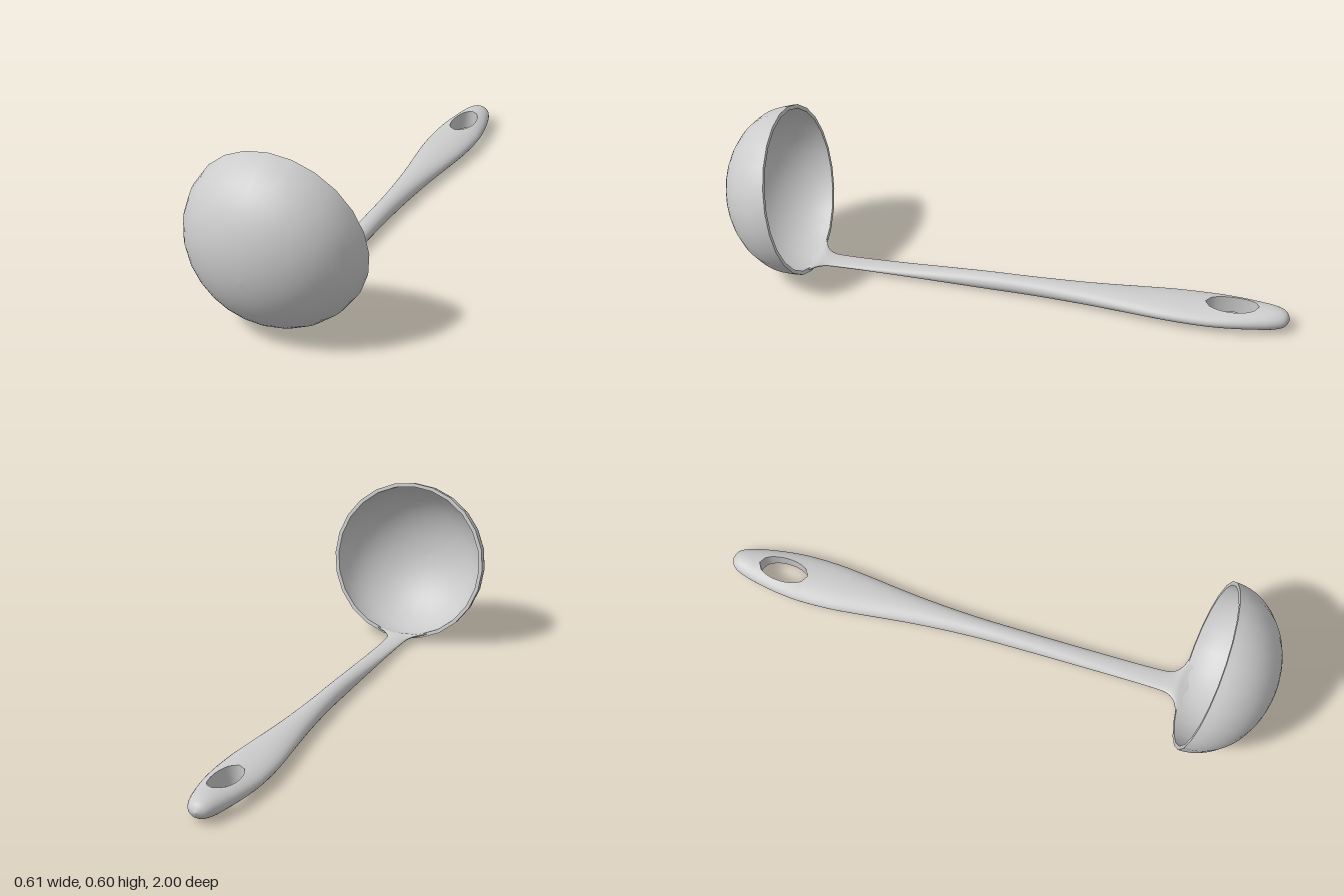
import * as THREE from 'three';
import { mergeVertices } from 'three/addons/utils/BufferGeometryUtils.js';

const material = new THREE.MeshStandardMaterial({ color: 0xcccccc, side: THREE.DoubleSide });

function addMesh(parent, name, geometry) {
  const mesh = new THREE.Mesh(geometry, material);
  mesh.name = name;
  parent.add(mesh);
}

// Hollow half-ellipsoid bowl, opening tilted up and toward the handle
function createBowl() {
  const bowl = new THREE.Group();
  bowl.name = 'bowl';
  const R = 0.303, D = 0.248, wall = 0.014, sides = 24;
  const arc = (r, d) => Array.from({ length: 17 }, (_, i) => {
    const a = (i / 16) * Math.PI / 2;
    return new THREE.Vector2(r * Math.sin(a), -d * Math.cos(a));
  });
  addMesh(bowl, 'bowlOutside', new THREE.LatheGeometry(arc(R, D), sides));
  addMesh(bowl, 'bowlInside', new THREE.LatheGeometry(arc(R - wall, D - wall).reverse(), sides));
  addMesh(bowl, 'bowlRim', new THREE.LatheGeometry(
    [new THREE.Vector2(R, 0), new THREE.Vector2(R - wall, 0)], sides));
  bowl.rotation.x = THREE.MathUtils.degToRad(-80);
  bowl.position.set(0, 0.309, 0.75);
  return bowl;
}

// Handle stations: z, half width, centre height, half thickness
const STATIONS = [
  [0.73, 0.13, 0.019, 0.002], [0.705, 0.108, 0.021, 0.007], [0.685, 0.066, 0.024, 0.009],
  [0.655, 0.043, 0.024, 0.009], [0.6, 0.037, 0.024, 0.010], [0.45, 0.035, 0.026, 0.015],
  [0.1, 0.035, 0.032, 0.029], [-0.1, 0.039, 0.034, 0.031], [-0.3, 0.053, 0.035, 0.032],
  [-0.5, 0.076, 0.037, 0.033], [-0.6, 0.086, 0.038, 0.034], [-0.708, 0.089, 0.039, 0.035],
  [-0.8, 0.082, 0.041, 0.037], [-0.892, 0.066, 0.043, 0.037], [-0.95, 0.05, 0.044, 0.035],
  [-0.985, 0.031, 0.044, 0.024], [-1, 0, 0.044, 0],
];
const HOLE = { z: -0.8, halfLength: 0.092, halfWidth: 0.045 };

function createHandle() {
  const handle = new THREE.Group();
  handle.name = 'handle';
  const plan = new THREE.SplineCurve(STATIONS.map(s => new THREE.Vector2(s[0], s[1])));
  const side = new THREE.SplineCurve(STATIONS.map(s => new THREE.Vector2(s[2], s[3])));
  const rows = (STATIONS.length - 1) * 6, N = 16;
  const skin = [], wall = [];

  // Half cross-sections, running from the underside round the edge to the top
  const sections = Array.from({ length: rows + 1 }, (_, i) => {
    const { x: z, y: w } = plan.getPoint(i / rows);
    const { x: yc, y: t } = side.getPoint(i / rows);
    const k = 1 - ((z - HOLE.z) / HOLE.halfLength) ** 2;
    const h = k > 1e-4 ? HOLE.halfWidth * Math.sqrt(k) : 0;
    const start = w > 0 ? Math.asin(Math.min(1, h / w)) : 0;
    // the neck curls up to follow the bowl
    const curl = 1.7 * THREE.MathUtils.smoothstep(z, 0.62, 0.7);
    const points = Array.from({ length: N + 1 }, (_, j) => {
      const a = start + (Math.PI - 2 * start) * j / N;
      const x = w * Math.sin(a);
      return [x, yc - t * Math.cos(a) + curl * x * x, z];
    });
    return { points, h };
  });

  const quad = (out, a, b, c, d, sign) => {
    const order = sign > 0 ? [a, b, c, c, b, d] : [a, c, b, c, d, b];
    for (const p of order) out.push(p[0] * sign, p[1], p[2]);
  };
  for (const sign of [1, -1]) {
    for (let i = 0; i < rows; i++) {
      const p = sections[i].points, q = sections[i + 1].points;
      for (let j = 0; j < N; j++) quad(skin, p[j], q[j], p[j + 1], q[j + 1], sign);
      // wall of the hanging hole
      if (sections[i].h > 0 || sections[i + 1].h > 0) quad(wall, p[N], q[N], p[0], q[0], sign);
    }
  }
  const build = positions => {
    const g = new THREE.BufferGeometry();
    g.setAttribute('position', new THREE.Float32BufferAttribute(positions, 3));
    const merged = mergeVertices(g, 1e-5);
    merged.computeVertexNormals();
    return merged;
  };
  addMesh(handle, 'handleGrip', build(skin));
  addMesh(handle, 'hangingHole', build(wall));
  return handle;
}

export function createModel() {
  const ladle = new THREE.Group();
  ladle.name = 'ladle';
  ladle.add(createBowl(), createHandle());
  return ladle;
}
